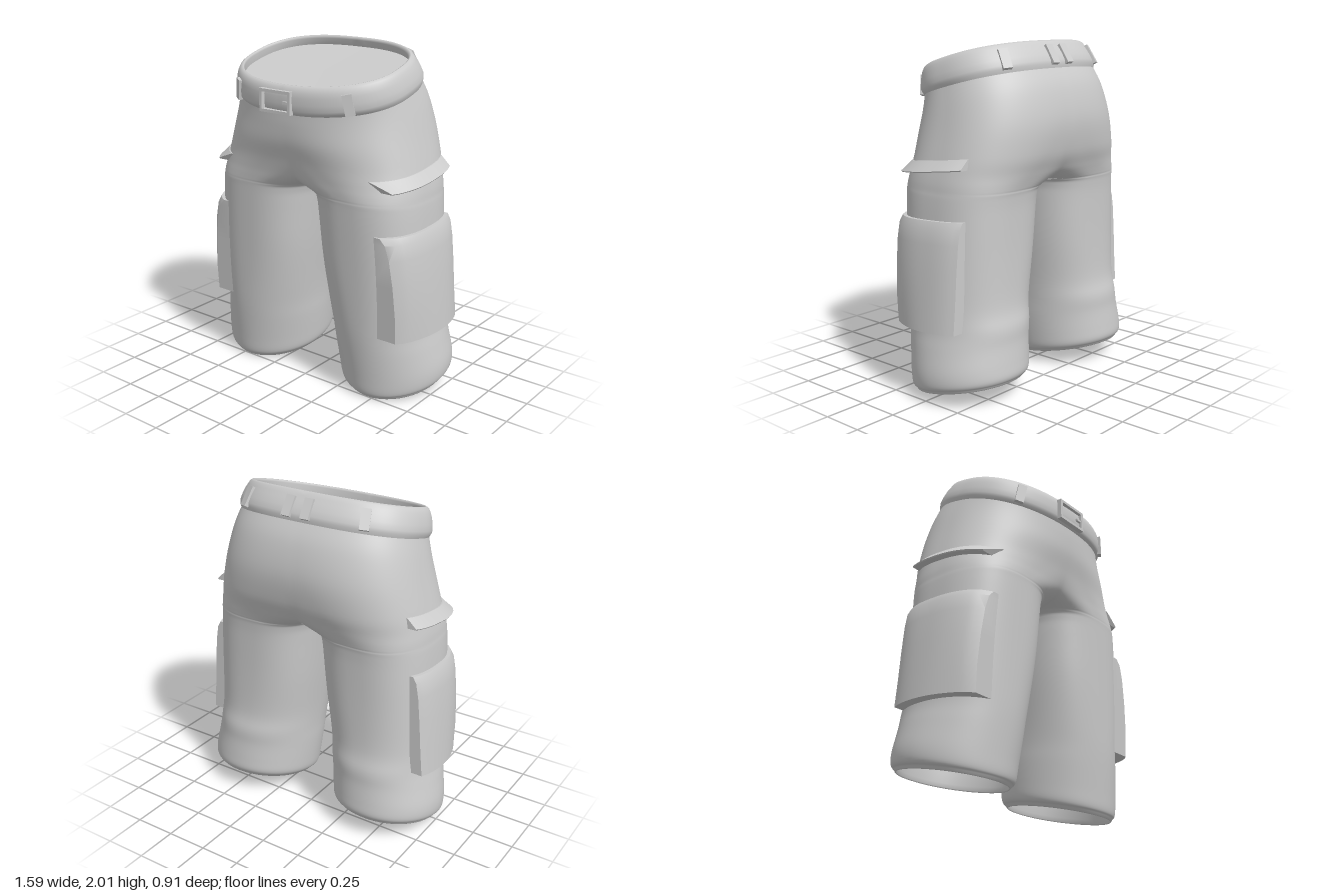
import * as THREE from 'three';
import { mergeVertices, toCreasedNormals } from 'three/addons/utils/BufferGeometryUtils.js';

const { clamp, lerp, smoothstep } = THREE.MathUtils;
const mat = new THREE.MeshStandardMaterial({ color: 0xcccccc, side: THREE.DoubleSide });

// Squareness of a section at a height: round at the hem, boxier at the thigh
const power = (y, front) => front
  ? 1.95 + 0.6 * smoothstep(y, 0.1, 0.9) - 0.35 * smoothstep(y, 1.3, 1.8)
  : 2.1 + 0.5 * smoothstep(y, 0.2, 1);

// Half sections, waist to hem: height, tilt, leg centre x, outer x, inner x, front z, back z
const KEYS = [
  [1.90, -0.27, 0, 0.525, -0.525, 0.418, -0.28],
  [1.78, -0.27, 0, 0.553, -0.553, 0.412, -0.345],
  [1.66, -0.20, 0, 0.585, -0.585, 0.41, -0.415],
  [1.52, -0.10, 0.04, 0.62, -0.58, 0.40, -0.45],
  [1.38, -0.03, 0.14, 0.655, -0.50, 0.372, -0.432],
  [1.29, 0, 0.24, 0.675, -0.32, 0.358, -0.398],
  [1.235, 0, 0.31, 0.685, -0.14, 0.353, -0.38],
  [1.19, 0, 0.355, 0.69, 0, 0.35, -0.368],
  [1.15, 0, 0.365, 0.695, 0.03, 0.347, -0.362],
  [1.05, 0, 0.375, 0.702, 0.042, 0.342, -0.357],
  [0.80, 0, 0.39, 0.715, 0.065, 0.33, -0.355],
  [0.55, -0.02, 0.415, 0.728, 0.093, 0.318, -0.362],
  [0.41, -0.06, 0.43, 0.737, 0.105, 0.31, -0.388],
  [0.30, -0.10, 0.44, 0.76, 0.11, 0.30, -0.393],
  [0.17, -0.16, 0.45, 0.785, 0.12, 0.285, -0.405],
  [0.09, -0.19, 0.455, 0.785, 0.13, 0.275, -0.41],
  [0.062, -0.19, 0.46, 0.765, 0.15, 0.262, -0.395],
  [0.075, -0.19, 0.46, 0.745, 0.17, 0.245, -0.375],
  [0.45, -0.05, 0.425, 0.726, 0.11, 0.305, -0.37],
];
const OUTER = KEYS.slice(0, 16);

// Section at a height
function sectionAt(y) {
  let i = 0;
  while (i < OUTER.length - 2 && OUTER[i + 1][0] > y) i++;
  const a = OUTER[i], b = OUTER[i + 1];
  const f = clamp((a[0] - y) / (a[0] - b[0]), 0, 1);
  return a.map((v, k) => lerp(v, b[k], f));
}

// Section grown outward by an offset
function grow(y, off) {
  const s = sectionAt(y);
  return [y, s[1], s[2], s[3] + off, s[4] - off, s[5] + off, s[6] - off];
}

// Point on a section; t runs from back (-) over the outer side (0) to front (+)
function pointOn([y, slope, cx, xo, , zf, zb], t, rIn) {
  const n = power(y, t >= 0), zc = (zf + zb) / 2, rz = (zf - zb) / 2;
  const c = Math.cos(t), s = Math.sin(t);
  const x = cx + Math.sign(c) * Math.abs(c) ** (2 / n) * (c > 0 ? xo - cx : rIn);
  const z = zc + Math.sign(s) * Math.abs(s) ** (2 / n) * rz;
  return new THREE.Vector3(Math.max(x, 0), y + slope * z, z);
}

// Skin sections on both sides of x = 0; sections reaching past x = 0 stay open there
function loft(rows, N = 36) {
  const pos = [], idx = [], W = 2 * N + 1;
  for (const side of [1, -1]) {
    const base = pos.length / 3;
    rows.forEach((row, r) => {
      const rIn = Math.max(row[2] - row[4], 1e-6);
      const ratio = clamp(row[2] / rIn, 0, 1);
      for (let i = -N; i <= N; i++) {
        const tMax = Math.acos(-(ratio ** (power(row[0], i >= 0) / 2)));
        const p = pointOn(row, (i / N) * tMax, rIn);
        if (Math.abs(i) === N && ratio < 1) p.x = 0;
        pos.push(side * p.x, p.y, p.z);
        if (r === 0 || i === -N) continue;
        const d = base + r * W + i + N, c = d - 1, b = d - W, a = b - 1;
        if (side > 0) idx.push(a, b, c, b, d, c);
        else idx.push(a, c, b, b, c, d);
      }
    });
  }
  let g = new THREE.BufferGeometry();
  g.setAttribute('position', new THREE.Float32BufferAttribute(pos, 3));
  g.setIndex(idx);
  g = mergeVertices(g, 1e-4);
  g.computeVertexNormals();
  return g;
}

// Smooth in-between sections
function smoothRows(keys, sub) {
  const out = [];
  for (let i = 0; i < keys.length - 1; i++) {
    const [p, a, b, q] = [-1, 0, 1, 2].map(d => keys[clamp(i + d, 0, keys.length - 1)]);
    for (let j = 0; j < sub; j++) {
      const f = j / sub;
      out.push(a.map((v, k) => v + 0.5 * f * (b[k] - p[k] + f * (2 * p[k] - 5 * v + 4 * b[k] - q[k]
        + f * (3 * (v - b[k]) + q[k] - p[k])))));
    }
  }
  out.push(keys[keys.length - 1]);
  return out;
}

// Padded panel on the outer side of a leg, lifted most at its front edge;
// profile rows: [height share from top, offset]
function panel(side, zFront, zBack, yTop, height, slope, profile) {
  const M = 16, pos = [], idx = [], W = M + 3;
  profile.forEach(([v, off], r) => {
    for (let i = 0; i < W; i++) {
      const u = clamp((i - 1) / M, 0, 1);
      const z = lerp(zFront, zBack, u) - 0.03 * v * (1 - u);
      const y = yTop - v * height + slope * z;
      const [, , cx, xo, , zf, zb] = sectionAt(y);
      const zn = (z - (zf + zb) / 2) / ((zf - zb) / 2);
      const n = power(y, zn > 0);
      const x = cx + (xo - cx) * (1 - Math.min(Math.abs(zn), 1) ** n) ** (1 / n);
      const edge = i === 0 || i === W - 1;
      const lift = zn > 0 ? 1 + 1.4 * zn ** 4 : 1 + 0.4 * zn * zn;
      pos.push(side * (x + (edge ? -0.02 : off * lift)), y, z);
      if (r === 0 || i === 0) continue;
      const d = r * W + i, c = d - 1, b = d - W, a = b - 1;
      if (side > 0) idx.push(a, c, b, b, c, d);
      else idx.push(a, b, c, b, d, c);
    }
  });
  const g = new THREE.BufferGeometry();
  g.setAttribute('position', new THREE.Float32BufferAttribute(pos, 3));
  g.setIndex(idx);
  return toCreasedNormals(g, 0.7);
}

export function createModel() {
  const model = new THREE.Group();
  const add = (name, geo) => {
    const m = new THREE.Mesh(geo, mat);
    m.name = name;
    model.add(m);
    return m;
  };

  // Trousers: hips and both legs in one skin, with the hem turned in
  add('trousers', loft(smoothRows(KEYS, 5)));

  // Belt with rounded waist rim, fading into the hips below
  const rim = [[1.865, -0.022], [1.91, -0.02], [1.922, -0.015], [1.925, -0.006], [1.915, 0.008], [1.895, 0.017],
    [1.87, 0.022], [1.83, 0.024], [1.795, 0.022], [1.775, 0.014], [1.76, 0.004], [1.745, -0.006]];
  add('belt', loft(rim.map(([y, off]) => grow(y, off))));

  // Closing surface inside the waist
  const edge = grow(1.868, -0.02), zc = (edge[5] + edge[6]) / 2;
  add('waistLining', loft([0.001, 0.35, 0.7, 1].map(k => [1.86 + 0.008 * k, -0.27, 0,
    edge[3] * k, edge[4] * k, zc + (edge[5] - zc) * k, zc + (edge[6] - zc) * k])));

  // Belt loops, leaning with the waist
  for (const side of [1, -1]) for (const t of [0.84, -0.92, -1.516]) {
    const at = (y, a) => pointOn(grow(y, 0.024), a, 1).multiply(new THREE.Vector3(side, 1, 1));
    const up = at(1.885, t).sub(at(1.775, t)).normalize();
    const along = at(1.83, t - 0.03).sub(at(1.83, t + 0.03)).multiplyScalar(side).normalize();
    const out = along.clone().cross(up).normalize();
    const right = up.clone().cross(out);
    const loop = add('beltLoop', new THREE.BoxGeometry(0.054, 0.118, 0.024));
    loop.setRotationFromMatrix(new THREE.Matrix4().makeBasis(right, up, out));
    loop.position.copy(at(1.83, t));
  }

  // Buckle frame and prong
  const rect = (path, w, h) => path.moveTo(-w, -h).lineTo(w, -h).lineTo(w, h).lineTo(-w, h).closePath();
  const frame = new THREE.Shape(), hole = new THREE.Path();
  rect(frame, 0.11, 0.065);
  rect(hole, 0.092, 0.048);
  frame.holes.push(hole);
  add('buckleFrame', new THREE.ExtrudeGeometry(frame, { depth: 0.03, bevelEnabled: false }))
    .position.set(-0.035, 1.72, 0.425);
  add('buckleProng', new THREE.BoxGeometry(0.05, 0.014, 0.02)).position.set(0.045, 1.72, 0.442);

  // Cargo pockets and the flaps above them
  for (const side of [1, -1]) {
    add('cargoPocket', panel(side, 0.315, -0.235, 1.035, 0.615, -0.05,
      [[0, -0.02], [0, 0.02], [0.06, 0.036], [0.2, 0.046], [0.45, 0.054], [0.75, 0.06], [1, 0.06], [1, -0.02]]));
    add('pocketFlap', panel(side, 0.31, -0.23, 1.359, 0.06, -0.115,
      [[0, -0.02], [0, 0.006], [0.5, 0.03], [0.9, 0.05], [1, 0.044], [1, -0.02]]));
  }
  return model;
}
